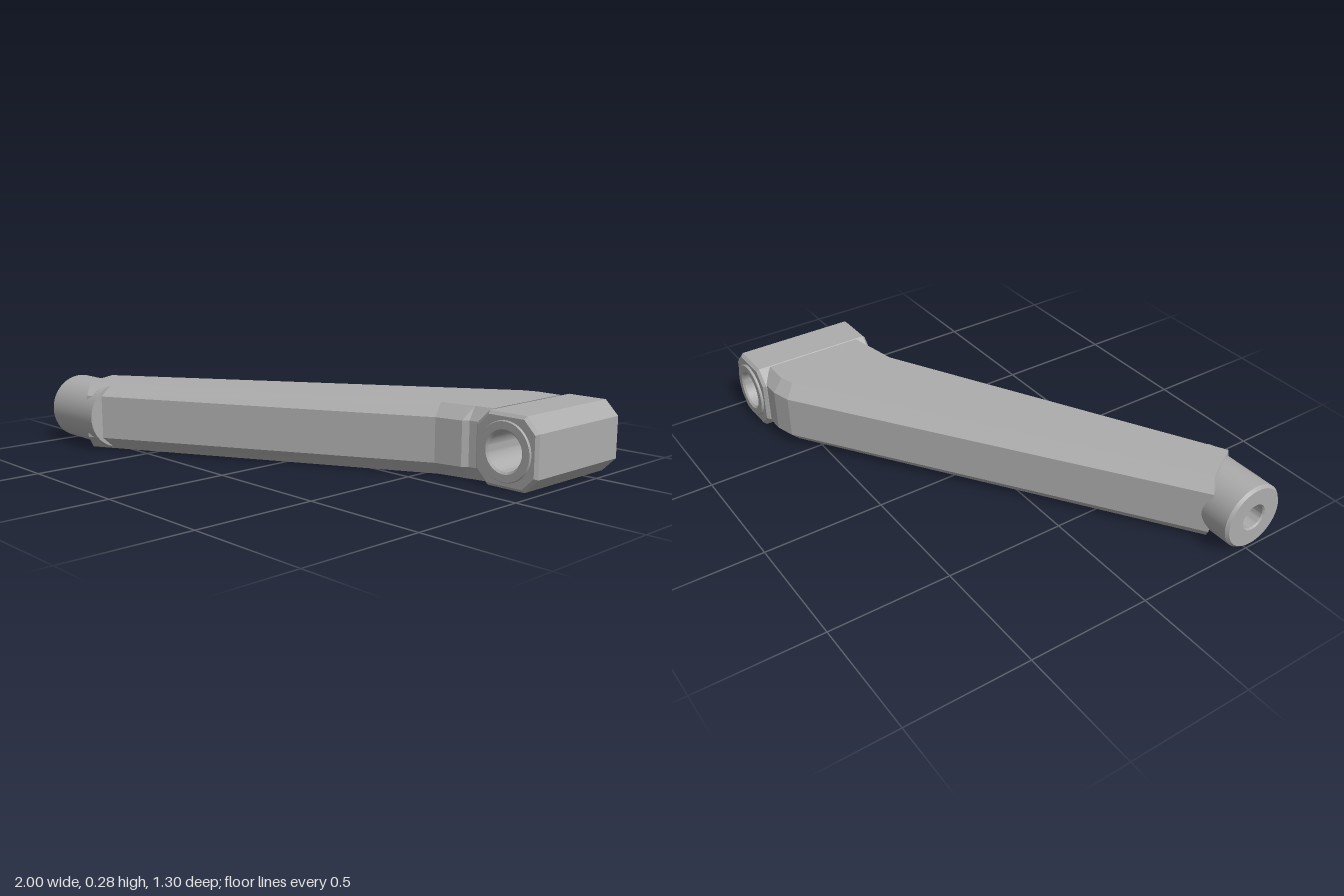
import * as THREE from 'three';
import { toCreasedNormals } from 'three/addons/utils/BufferGeometryUtils.js';

const metal = new THREE.MeshStandardMaterial({ color: 0xacacac });
metal.name = 'grey metal';

// Arm plan, anticlockwise from above: [outer x, outer z, inner x, inner z]
const ARM = [
  [-0.74, 0.63, -0.77, 0.59],
  [0.56, -0.08, 0.55, -0.122],
  [0.67, -0.103, 0.66, -0.143],
  [0.69, -0.122, 0.69, -0.15],
  [0.74, -0.13, 0.77, -0.165],
  [0.74, -0.625, 0.77, -0.58],
  [0.65, -0.625, 0.66, -0.58],
  [0.57, -0.602, 0.60, -0.56],
  [-0.895, 0.40, -0.86, 0.43],
];

// Bar with chamfered upper and lower edges, joined from four outline rings
function armGeometry() {
  const outer = (y) => ARM.map((p) => [p[0], y, p[1]]);
  const inner = (y) => ARM.map((p) => [p[2], y, p[3]]);
  const rings = [inner(0), outer(0.052), outer(0.228), inner(0.28)];
  const pos = [];
  const tri = (...corners) => corners.forEach((c) => pos.push(...c));
  const n = ARM.length;
  for (let r = 0; r < 3; r++) {
    const a = rings[r], b = rings[r + 1];
    for (let i = 0; i < n; i++) {
      const j = (i + 1) % n;
      tri(a[i], a[j], b[j]);
      tri(a[i], b[j], b[i]);
    }
  }
  const plan = ARM.map((p) => new THREE.Vector2(p[2], -p[3]));
  for (const [a, b, c] of THREE.ShapeUtils.triangulateShape(plan, [])) {
    tri(rings[3][a], rings[3][b], rings[3][c]);
    tri(rings[0][a], rings[0][c], rings[0][b]);
  }
  const g = new THREE.BufferGeometry();
  g.setAttribute('position', new THREE.Float32BufferAttribute(pos, 3));
  g.computeVertexNormals();
  return g;
}

// Octagonal block with a bore and bevelled ends
function blockGeometry() {
  const bevel = 0.012, h = 0.14 - bevel, k = h - 0.05;
  const pts = [[h, -k], [h, k], [k, h], [-k, h], [-h, k], [-h, -k], [-k, -h], [k, -h]];
  const shape = new THREE.Shape(pts.map((p) => new THREE.Vector2(...p)));
  shape.holes.push(new THREE.Path().absarc(0, 0, 0.108, 0, Math.PI * 2, true));
  return new THREE.ExtrudeGeometry(shape, {
    depth: 0.5, bevelEnabled: true, bevelThickness: bevel, bevelSize: bevel,
    bevelSegments: 1, curveSegments: 24,
  });
}

// Turned part with sharp profile corners
function turned(profile) {
  const pts = profile.map((p) => new THREE.Vector2(...p));
  return toCreasedNormals(new THREE.LatheGeometry(pts, 48), 0.45);
}

export function createModel() {
  const model = new THREE.Group();
  const add = (name, geometry) => {
    const mesh = new THREE.Mesh(geometry, metal);
    mesh.name = name;
    model.add(mesh);
    return mesh;
  };

  add('arm', armGeometry());
  add('clampBlock', blockGeometry()).position.set(0.86, 0.14, -0.628);

  // Sleeve through the block, standing proud at both ends
  const sleeve = add('boreSleeve', turned([
    [0.083, -0.108], [0.112, -0.108], [0.115, -0.112], [0.115, -0.646], [0.112, -0.65],
    [0.083, -0.65], [0.075, -0.642], [0.075, -0.116], [0.083, -0.108],
  ].reverse()));
  sleeve.rotation.x = Math.PI / 2;
  sleeve.position.set(0.86, 0.14, 0);

  // Round end with a blind hole in its outer face
  const boss = add('roundEnd', turned([
    [0, -0.68], [0.135, -0.68], [0.135, -0.988], [0.125, -1], [0.056, -1],
    [0.05, -0.994], [0.05, -0.74], [0, -0.74],
  ].reverse()));
  boss.rotation.z = -Math.PI / 2;
  boss.position.set(0, 0.14, 0.515);

  return model;
}
